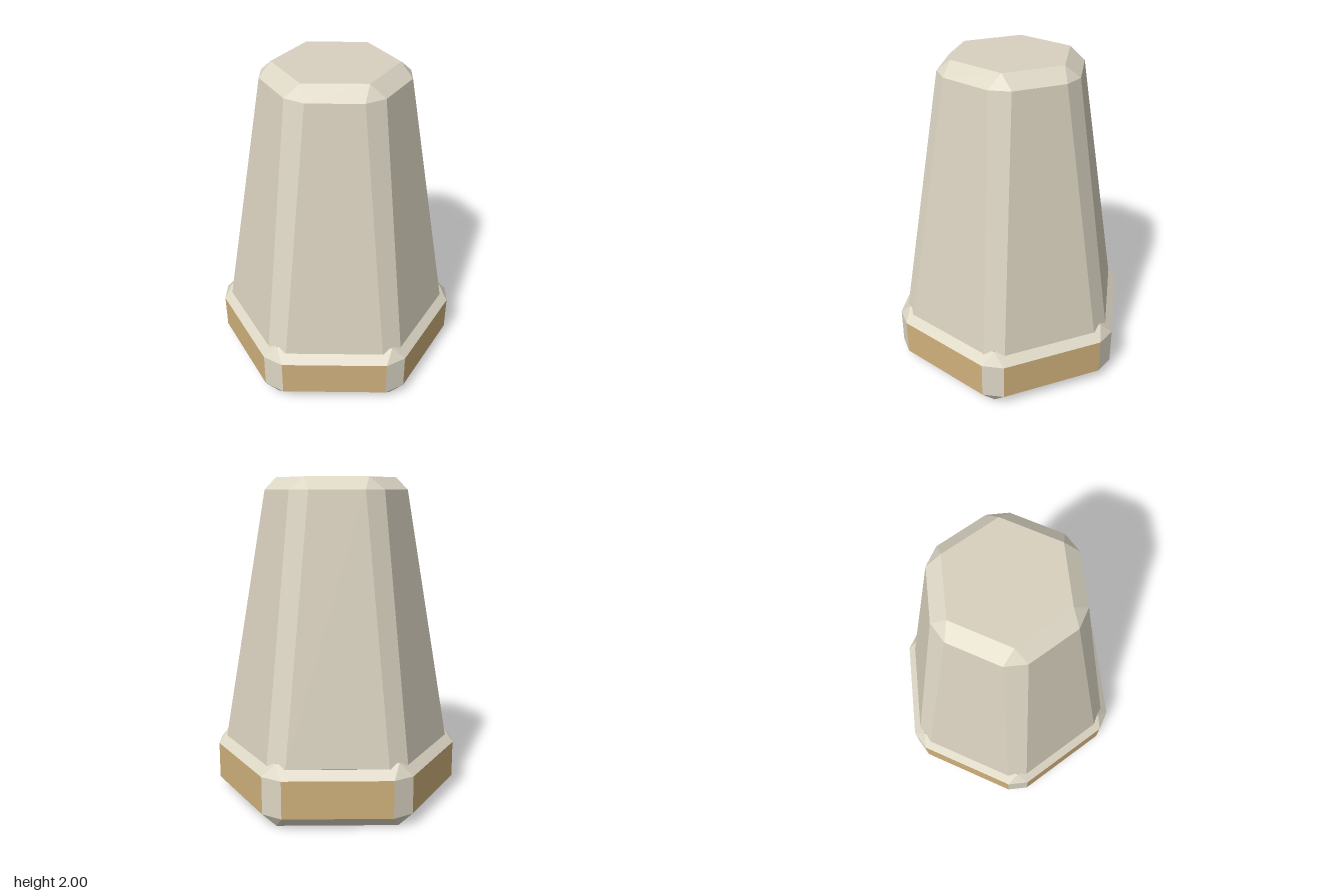
import * as THREE from 'three';

// Ring of six hexagon corners, the first pointing to +z
const hexRing = (y, r) => Array.from({ length: 6 }, (_, k) => {
  const a = k * Math.PI / 3;
  return [r * Math.sin(a), y, r * Math.cos(a)];
});

// Ring of twelve points: each hexagon corner cut by a facet of half-width h
const cutRing = (y, c, h) => Array.from({ length: 6 }, (_, k) => {
  const s = Math.sin(k * Math.PI / 3), t = Math.cos(k * Math.PI / 3);
  return [[c * s - h * t, y, c * t + h * s], [c * s + h * t, y, c * t - h * s]];
});

// Chamfered hexagonal block; group 0 is the main faces, group 1 the chamfers
function chamferedHex({ bottom, lower, upper, top, h }) {
  const b = hexRing(...bottom), t = hexRing(...top);
  const lo = cutRing(...lower, h), up = cutRing(...upper, h);
  const faces = [], chamfers = [];
  const poly = (list, ...p) => {
    for (let i = 1; i < p.length - 1; i++) list.push(...p[0], ...p[i], ...p[i + 1]);
  };
  for (let k = 0; k < 6; k++) {
    const n = (k + 1) % 6;
    poly(faces, lo[k][1], lo[n][0], up[n][0], up[k][1]); // side
    poly(chamfers, lo[k][0], lo[k][1], up[k][1], up[k][0]); // upright corner
    poly(chamfers, up[k][1], up[n][0], t[n], t[k]); // top edge
    poly(chamfers, up[k][0], up[k][1], t[k]); // top corner
    poly(chamfers, b[k], b[n], lo[n][0], lo[k][1]); // bottom edge
    poly(chamfers, b[k], lo[k][1], lo[k][0]); // bottom corner
  }
  poly(faces, ...t);
  poly(faces, ...[...b].reverse());
  const g = new THREE.BufferGeometry();
  g.setAttribute('position', new THREE.Float32BufferAttribute([...faces, ...chamfers], 3));
  g.addGroup(0, faces.length / 3, 0);
  g.addGroup(faces.length / 3, chamfers.length / 3, 1);
  g.computeVertexNormals();
  return g;
}

export function createModel() {
  const material = (name, color) => {
    const m = new THREE.MeshStandardMaterial({ color });
    m.name = name;
    return m;
  };
  const stone = material('stone', 0xd8d0be);
  const edge = material('pale edge', 0xdcd6c4);
  const tan = material('tan', 0xd0b07c);

  const group = new THREE.Group();
  group.name = 'hexagonalPost';
  const add = (name, geometry, materials) => {
    const mesh = new THREE.Mesh(geometry, materials);
    mesh.name = name;
    group.add(mesh);
  };

  // Low tan plinth with pale chamfers
  add('base', chamferedHex({
    bottom: [0, 0.713], lower: [0.077, 0.762], upper: [0.308, 0.762], top: [0.385, 0.713], h: 0.067,
  }), [tan, edge]);

  // Tapered body, its lower chamfer sunk into the plinth
  add('body', chamferedHex({
    bottom: [0.285, 0.64], lower: [0.36, 0.71], upper: [1.925, 0.435], top: [2, 0.37], h: 0.065,
  }), [stone, edge]);

  return group;
}
